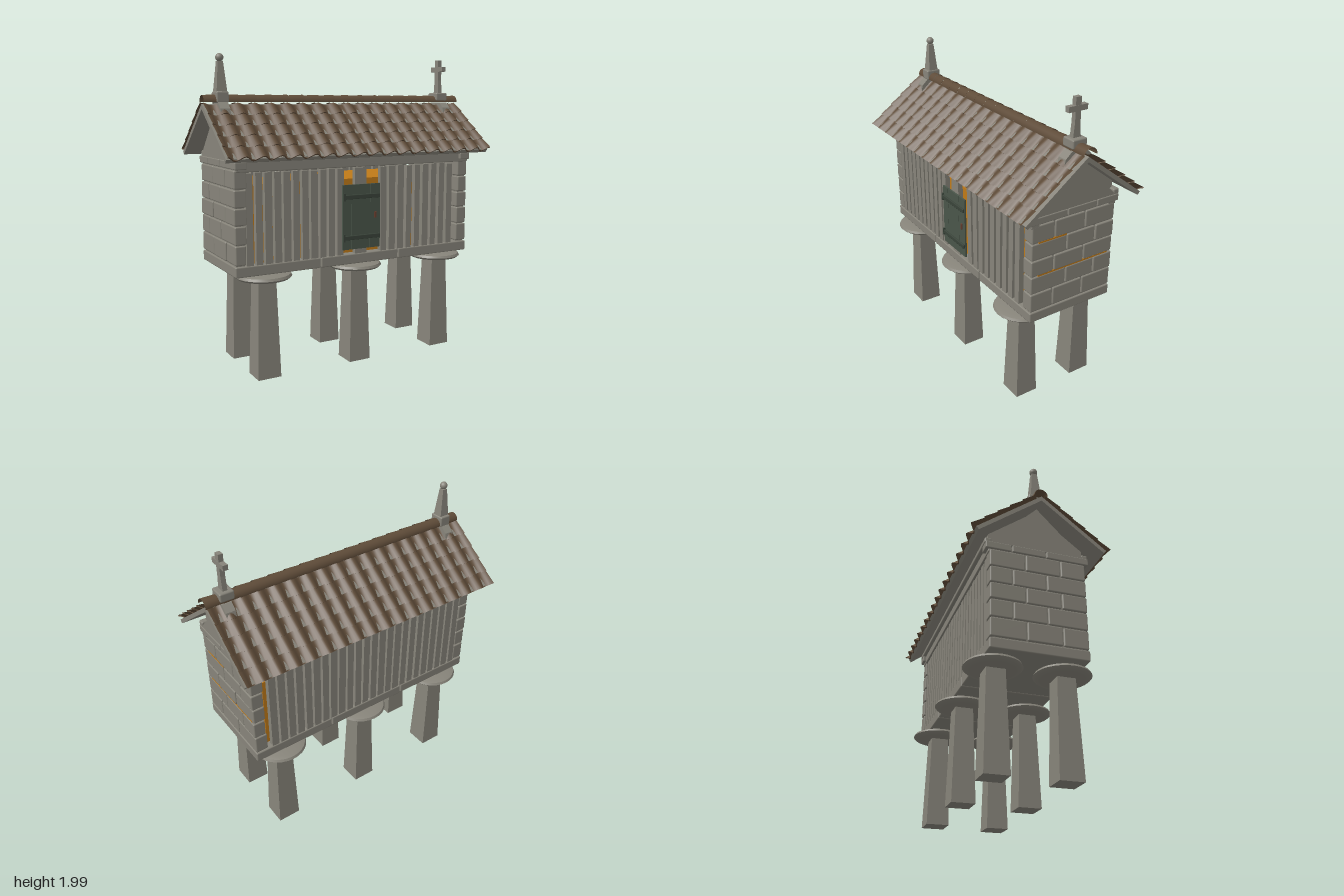
import * as THREE from 'three';
import { toCreasedNormals } from 'three/addons/utils/BufferGeometryUtils.js';
import { RoundedBoxGeometry } from 'three/addons/geometries/RoundedBoxGeometry.js';

const mat = (name, color, side = THREE.FrontSide) => {
  const m = new THREE.MeshStandardMaterial({ color, side });
  m.name = name;
  return m;
};

export function createModel() {
  const stone = mat('stone', 0x87847a);
  const tile = mat('roofTile', 0x5f4c39, THREE.DoubleSide);
  const corn = mat('corn', 0xc07a18);
  const green = mat('doorGreen', 0x4a564a);
  const darkGreen = mat('doorBars', 0x3a443a);
  const rust = mat('handleRust', 0x6b4030);

  const model = new THREE.Group();
  model.name = 'raisedGranary';

  let seed = 7;
  const rand = () => (seed = (seed * 16807) % 2147483647) / 2147483647;
  const jitter = (a) => (rand() - 0.5) * a;

  function add(name, geo, material, parent = model) {
    const mesh = new THREE.Mesh(geo, material);
    mesh.name = name;
    parent.add(mesh);
    return mesh;
  }
  // Box given by its limits on each axis, with an optional small bevel
  function box(name, [x0, x1], [y0, y1], [z0, z1], material, bevel = 0, parent = model) {
    const s = [x1 - x0, y1 - y0, z1 - z0];
    const geo = bevel ? new RoundedBoxGeometry(...s, 1, bevel) : new THREE.BoxGeometry(...s);
    const mesh = add(name, geo, material, parent);
    mesh.position.set((x0 + x1) / 2, (y0 + y1) / 2, (z0 + z1) / 2);
    return mesh;
  }
  // Square tapering post
  function post(name, bottom, top, y0, y1, x, z) {
    const geo = new THREE.CylinderGeometry(top * Math.SQRT1_2, bottom * Math.SQRT1_2, y1 - y0, 4)
      .rotateY(Math.PI / 4).toNonIndexed();
    geo.computeVertexNormals();
    add(name, geo, stone).position.set(x, (y0 + y1) / 2, z);
  }
  // Profile in the z-y plane pushed along x
  function prism(name, points, x0, x1) {
    const shape = new THREE.Shape(points.map(([z, y]) => new THREE.Vector2(z, y)));
    const geo = new THREE.ExtrudeGeometry(shape, { depth: x1 - x0, bevelEnabled: false }).rotateY(Math.PI / 2);
    add(name, geo, stone).position.x = x0;
  }

  // Six legs with round rodent-stop slabs
  const discProfile = [[0, 0.626], [0.13, 0.63], [0.162, 0.637], [0.176, 0.65], [0.168, 0.665], [0.14, 0.672], [0, 0.672]]
    .map(([r, y]) => new THREE.Vector2(r, y));
  const discGeo = toCreasedNormals(new THREE.LatheGeometry(discProfile, 28), 0.7);
  for (const x of [-0.655, -0.007, 0.642]) {
    for (const z of [0.215, -0.215]) {
      post('leg', 0.153, 0.116, 0.008, 0.64, x, z);
      add('legSlab', discGeo, stone).position.set(x, 0, z);
    }
  }

  // Floor in three stone lengths
  for (const span of [[-0.868, -0.302], [-0.296, 0.278], [0.284, 0.85]]) {
    box('floorStone', span, [0.672, 0.738], [-0.302, 0.302], stone, 0.008);
  }

  // Corn store inside
  box('cornStore', [-0.75, 0.745], [0.738, 1.22], [-0.245, 0.245], corn);

  // End walls of coursed blocks over a solid core
  const courses = [0.742, 0.866, 0.982, 1.089, 1.199, 1.314];
  for (const [inner, outer] of [[-0.792, -0.868], [0.77, 0.85]]) {
    const s = Math.sign(outer);
    const range = (a, b) => (a < b ? [a, b] : [b, a]);
    box('wallCore', range(inner + s * 0.01, outer - s * 0.012), [0.738, 1.34], [-0.285, 0.285], stone);
    for (let i = 0; i < 5; i++) {
      const cuts = i % 2 ? [0.302, 0.05, -0.16, -0.302] : [0.302, 0.14, -0.08, -0.302];
      for (let k = 0; k < 3; k++) {
        box('wallBlock', range(inner + jitter(0.012), outer + jitter(0.006)),
          [courses[i] + 0.003, courses[i + 1] - 0.003], [cuts[k + 1] + 0.003, cuts[k] - 0.003], stone, 0.008);
      }
    }
    for (const [a, b] of [[-0.325, -0.165], [-0.16, 0.05], [0.055, 0.325]]) {
      box('capStone', range(inner, outer), [1.317, 1.362], [a, b], stone, 0.006);
    }
    // Gable: front triangle with a set-back filler up to the roof
    prism('gable', [[-0.3, 1.36], [0.3, 1.36], [0, 1.662]], ...range(inner, outer - s * 0.005));
    prism('gableFiller', [[-0.3, 1.36], [0.3, 1.36], [0.3, 1.435], [0, 1.662], [-0.3, 1.435]],
      ...range(inner, outer - s * 0.04));
  }
  // Corn showing in two loose joints of the end wall
  box('cornJoint', [0.8, 0.846], [1.194, 1.204], [0.05, 0.25], corn);
  box('cornJoint', [0.8, 0.846], [0.977, 0.987], [-0.27, 0.25], corn);

  // Slatted long walls and the beams above them
  const slat = (x, w, s) => {
    const m = box('slat', [x - w / 2, x + w / 2], [0.736, 1.293 + jitter(0.008)], [0.262, 0.296], stone);
    m.position.z *= s;
    m.rotation.z = jitter(0.012);
  };
  for (let i = 0; i < 11; i++) slat(-0.772 + i * 0.0615, 0.045 + jitter(0.008), 1);
  for (let i = 0; i < 9; i++) slat(0.165 + i * 0.067, 0.045 + jitter(0.008), 1);
  slat(-0.008, 0.085, 1);
  for (let i = 0; i < 24; i++) slat(-0.765 + i * 0.064, 0.048 + jitter(0.008), -1);
  for (const s of [1, -1]) {
    const z = (a, b) => (s > 0 ? [a, b] : [-b, -a]);
    box('topBeam', [-0.855, 0.848], [1.3, 1.362], z(0.25, 0.305), stone, 0.006);
    box('eaveRail', [-0.855, 0.848], [1.358, 1.395], z(0.285, 0.328), stone, 0.01);
  }

  // Door: three planks, two cross bars with rounded ends, a handle
  const door = new THREE.Group();
  door.name = 'door';
  model.add(door);
  for (const span of [[-0.146, -0.083], [-0.081, 0.053], [0.055, 0.13]]) {
    box('doorPlank', span, [0.77, 1.188], [0.297, 0.309], green, 0, door);
  }
  for (const y of [0.847, 1.11]) {
    box('doorBar', [-0.143, 0.125], [y - 0.014, y + 0.014], [0.306, 0.32], darkGreen, 0.004, door);
    box('hingePin', [-0.146, -0.134], [y - 0.024, y + 0.024], [0.306, 0.322], darkGreen, 0, door);
  }
  box('doorHandle', [0.085, 0.1], [0.965, 1.005], [0.307, 0.316], rust, 0, door);

  // One row of wavy tiles: waves deepen toward the lower end, which turns down in a lip
  const X0 = -0.95, X1 = 0.934, WAVES = 17, SEG = WAVES * 8;
  function tileRow(z0, z1, shift) {
    const pos = [], idx = [];
    const sections = [[z0, 0.013, 0.01, 0], [z1, 0.014, 0.019, 0], [z1 - 0.002, 0.004, 0.019, 0]];
    for (const [z, base, amp] of sections) {
      for (let i = 0; i <= SEG; i++) {
        const w = Math.cos((i / 8) * Math.PI * 2);
        pos.push(X0 + shift + ((X1 - X0) * i) / SEG, base + amp * w, z + (z === z0 ? 0 : 0.004 * w));
      }
    }
    const n = SEG + 1;
    for (let r = 0; r < 2; r++) {
      for (let i = 0; i < SEG; i++) {
        const a = r * n + i, b = a + n;
        idx.push(a, b, a + 1, a + 1, b, b + 1);
      }
    }
    const geo = new THREE.BufferGeometry();
    geo.setAttribute('position', new THREE.Float32BufferAttribute(pos, 3));
    geo.setIndex(idx);
    return toCreasedNormals(geo, 0.9);
  }

  // Two roof slopes; local +z runs down the slope
  const pitch = Math.atan2(0.31, 0.41);
  for (const s of [1, -1]) {
    const side = new THREE.Group();
    side.name = s > 0 ? 'frontRoof' : 'backRoof';
    side.rotation.y = s > 0 ? 0 : Math.PI;
    side.position.y = 1.695;
    const slope = new THREE.Group();
    slope.rotation.x = pitch;
    side.add(slope);
    model.add(side);
    box('roofSlab', s > 0 ? [X0, X1] : [-X1, -X0], [-0.025, 0], [0, 0.512], stone, 0, slope);
    for (let r = 0; r < 5; r++) {
      add('tileRow', tileRow(0.018 + r * 0.099, 0.126 + r * 0.099, s > 0 ? 0 : 0.016), tile, slope);
    }
  }

  // Ridge of overlapping half-round caps
  const capLen = 1.89 / 17;
  for (let i = 0; i < 17; i++) {
    const geo = new THREE.CylinderGeometry(0.046, 0.041, capLen + 0.006, 12, 1, true, 0, Math.PI)
      .rotateZ(-Math.PI / 2).rotateX(0);
    const cap = add('ridgeCap', geo, tile);
    // Turn the half shell so that its open side faces down
    geo.computeBoundingBox();
    const c = geo.boundingBox.getCenter(new THREE.Vector3());
    geo.rotateX(Math.atan2(c.z, c.y));
    geo.rotateX(Math.abs(c.y) > Math.abs(c.z) && c.y < 0 ? Math.PI : 0);
    geo.computeBoundingBox();
    if (geo.boundingBox.max.y < 0.02) geo.rotateX(Math.PI);
    cap.position.set(-0.945 + capLen * (i + 0.5), 1.707, 0);
  }

  // Saddle stones astride the ridge at both ends
  const saddle = [[-0.1, 1.628], [-0.05, 1.628], [0, 1.666], [0.05, 1.628], [0.1, 1.628], [0.09, 1.668], [0.05, 1.705], [-0.05, 1.705], [-0.09, 1.668]];
  prism('saddleStone', saddle, -0.862, -0.8);
  prism('saddleStone', saddle, 0.788, 0.85);

  // Obelisk finial with ball
  box('obeliskBase', [-0.87, -0.79], [1.7, 1.77], [-0.05, 0.05], stone, 0.01);
  post('obelisk', 0.068, 0.034, 1.765, 1.95, -0.83, 0);
  add('obeliskBall', new THREE.SphereGeometry(0.025, 16, 12), stone).position.set(-0.83, 1.973, 0);

  // Cross finial
  box('crossBase', [0.763, 0.857], [1.715, 1.772], [-0.05, 0.05], stone, 0.01);
  prism('crossShaft', [[-0.027, 1.765], [0.027, 1.765], [0.019, 1.86], [0.019, 2], [-0.019, 2], [-0.019, 1.86]], 0.795, 0.825);
  box('crossArms', [0.794, 0.826], [1.92, 1.953], [-0.065, 0.065], stone);

  return model;
}
